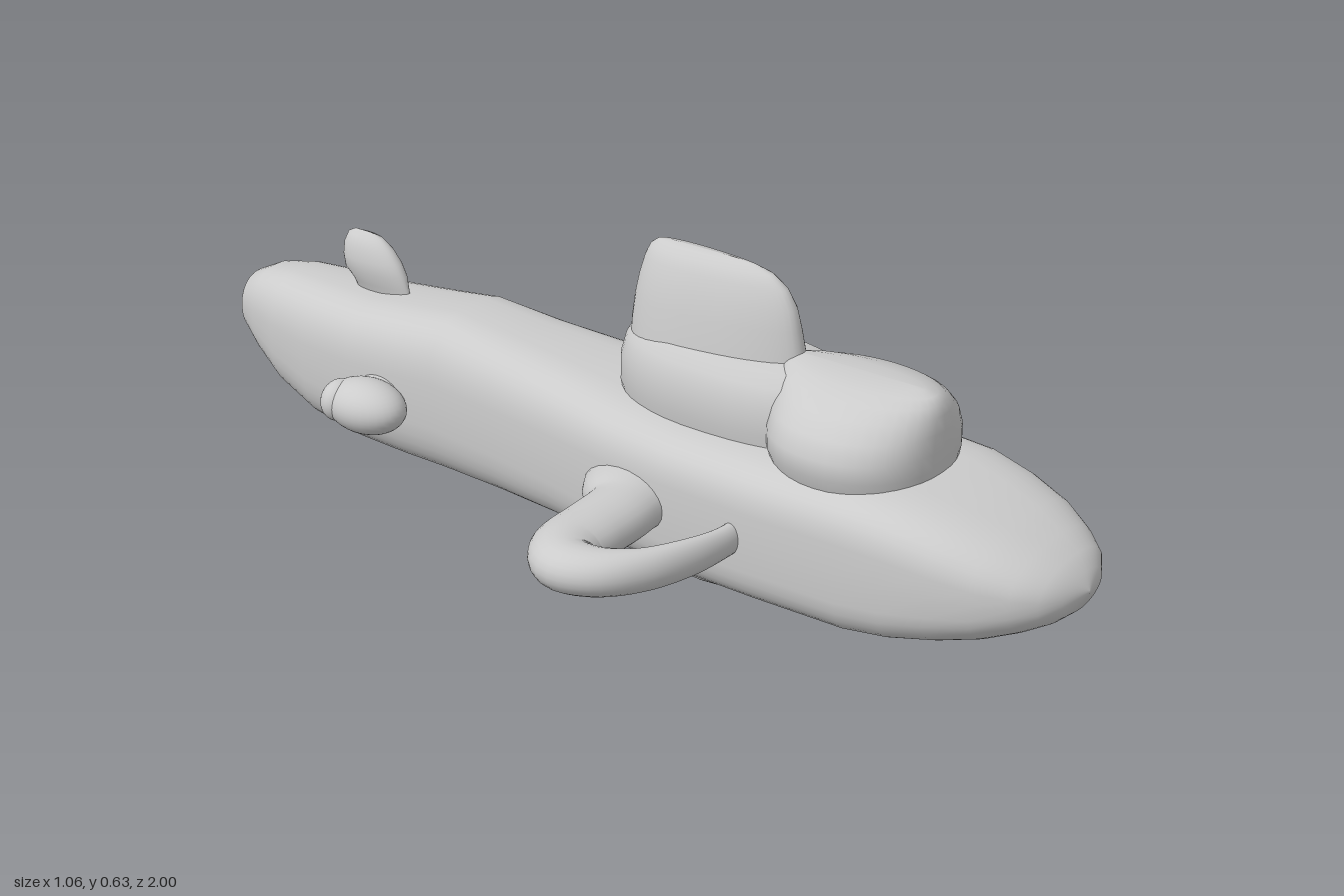
import * as THREE from 'three';

const mat = new THREE.MeshStandardMaterial({ color: 0xcccccc, side: THREE.DoubleSide });
const SIDES = 40;

// Skin a list of closed rings of Vector3 points
function skin(rings) {
  const pos = [], index = [], n = rings[0].length;
  rings.forEach((ring) => ring.forEach((p) => pos.push(p.x, p.y, p.z)));
  for (let i = 0; i < rings.length - 1; i++) {
    for (let j = 0; j < n; j++) {
      const a = i * n + j, b = i * n + (j + 1) % n;
      index.push(a, b, a + n, b, b + n, a + n);
    }
  }
  const g = new THREE.BufferGeometry();
  g.setAttribute('position', new THREE.Float32BufferAttribute(pos, 3));
  g.setIndex(index);
  g.computeVertexNormals();
  return g;
}

// Superellipse sections [position, halfWidth, low, high, exponent] along z;
// taper narrows the low end of each section
function loft(sections, taper = 0) {
  return skin(sections.map(([w, hw, lo, hi, e]) => {
    const ring = [];
    for (let j = 0; j < SIDES; j++) {
      const t = (j / SIDES) * Math.PI * 2;
      const c = Math.cos(t), s = Math.sin(t);
      const u = Math.sign(c) * Math.abs(c) ** (2 / e);
      const v = Math.sign(s) * Math.abs(s) ** (2 / e);
      const k = 1 - taper * (1 - v) / 2;
      ring.push(new THREE.Vector3(u * hw * k, (lo + hi) / 2 + v * (hi - lo) / 2, w));
    }
    return ring;
  }));
}

// Upright loft: sections [y, halfWidth, zBack, zFront, exponent], narrowing forwards
function loftUp(sections, taper) {
  const flipped = sections.map(([y, hw, z0, z1, e]) => [y, hw, -z1, -z0, e]);
  return loft(flipped, taper).rotateX(-Math.PI / 2);
}

function add(parent, name, geometry) {
  const m = new THREE.Mesh(geometry, mat);
  m.name = name;
  parent.add(m);
  return m;
}

function ellipsoid(parent, name, [x, y, z], [rx, ry, rz]) {
  add(parent, name, new THREE.SphereGeometry(1, 32, 20).scale(rx, ry, rz)).position.set(x, y, z);
}

// Wing loop: a flattened tube that leaves the hull, turns forward and returns
function wingGeometry() {
  // [x, z, horizontal radius, vertical radius]
  const stations = [
    [0.1, 0.11, 0.13, 0.065], [0.18, 0.125, 0.1, 0.06], [0.24, 0.145, 0.072, 0.053],
    [0.34, 0.15, 0.07, 0.051], [0.42, 0.155, 0.068, 0.05], [0.467, 0.19, 0.062, 0.048],
    [0.46, 0.25, 0.05, 0.045], [0.41, 0.31, 0.033, 0.042], [0.32, 0.353, 0.024, 0.038],
    [0.24, 0.37, 0.02, 0.032], [0.15, 0.37, 0.02, 0.03],
  ];
  const path = new THREE.CatmullRomCurve3(stations.map(([x, z]) => new THREE.Vector3(x, 0, z)));
  const radii = new THREE.CatmullRomCurve3(stations.map(([, , h, v]) => new THREE.Vector3(h, v, 0)));
  const rings = [];
  for (let i = 0; i <= 50; i++) {
    const p = path.getPoint(i / 50), t = path.getTangent(i / 50), r = radii.getPoint(i / 50);
    const ring = [];
    for (let j = 0; j < 24; j++) {
      const a = (j / 24) * Math.PI * 2, h = Math.cos(a) * r.x;
      ring.push(new THREE.Vector3(p.x + t.z * h, Math.sin(a) * r.y, p.z - t.x * h));
    }
    rings.push(ring);
  }
  return skin(rings);
}

export function createModel() {
  const model = new THREE.Group();
  model.name = 'submarine';

  // Hull from stern to bow
  add(model, 'hull', loft([
    [-1, 0, 0.245, 0.255, 2], [-0.995, 0.03, 0.22, 0.275, 2], [-0.97, 0.06, 0.175, 0.305, 2.2],
    [-0.92, 0.083, 0.135, 0.33, 2.4], [-0.85, 0.105, 0.09, 0.342, 2.6], [-0.75, 0.122, 0.053, 0.345, 2.8],
    [-0.62, 0.135, 0.038, 0.347, 3], [-0.5, 0.14, 0.034, 0.36, 3], [-0.4, 0.142, 0.033, 0.373, 3],
    [-0.25, 0.15, 0.033, 0.358, 3.1], [-0.1, 0.165, 0.033, 0.346, 3.3], [0.05, 0.187, 0.032, 0.335, 3.6],
    [0.2, 0.205, 0.03, 0.33, 4], [0.4, 0.215, 0.032, 0.33, 4], [0.6, 0.217, 0.034, 0.33, 4],
    [0.69, 0.215, 0.045, 0.326, 3.8], [0.78, 0.203, 0.062, 0.31, 3.3], [0.86, 0.182, 0.083, 0.287, 2.9],
    [0.92, 0.15, 0.105, 0.262, 2.5], [0.96, 0.115, 0.125, 0.24, 2.3], [0.985, 0.07, 0.145, 0.217, 2],
    [1, 0, 0.18, 0.185, 2],
  ]));

  // Belly bulges
  ellipsoid(model, 'keelBulge', [0, 0.05, 0.26], [0.16, 0.046, 0.17]);
  ellipsoid(model, 'frontBellyBulge', [0, 0.05, 0.49], [0.16, 0.034, 0.17]);

  // Domed cabin ahead of the tower
  add(model, 'cabin', loftUp([
    [0.3, 0.165, 0.36, 0.685, 2.2], [0.34, 0.182, 0.35, 0.69, 2.2], [0.375, 0.182, 0.35, 0.69, 2.2],
    [0.41, 0.165, 0.35, 0.69, 2.1], [0.44, 0.132, 0.35, 0.687, 2], [0.46, 0.1, 0.35, 0.68, 2],
    [0.472, 0.065, 0.355, 0.668, 2], [0.479, 0.035, 0.37, 0.645, 2], [0.48, 0, 0.4, 0.62, 2],
  ], 0));

  // Tower base and tower
  add(model, 'towerBase', loftUp([
    [0.3, 0.115, 0, 0.5, 2.4], [0.35, 0.125, -0.01, 0.5, 2.4], [0.4, 0.122, -0.01, 0.5, 2.4],
    [0.44, 0.108, 0, 0.48, 2.4], [0.46, 0.085, 0.015, 0.45, 2.3], [0.468, 0, 0.06, 0.4, 2],
  ], 0));
  add(model, 'tower', loftUp([
    [0.43, 0.1, 0.01, 0.39, 2.4], [0.47, 0.093, 0.01, 0.385, 2.4], [0.52, 0.082, 0.015, 0.375, 2.4],
    [0.56, 0.07, 0.022, 0.365, 2.4], [0.595, 0.054, 0.03, 0.345, 2.3], [0.617, 0.039, 0.04, 0.315, 2.2],
    [0.628, 0.02, 0.055, 0.275, 2], [0.631, 0, 0.09, 0.23, 2],
  ], 0.45));

  // Tail fin, leaning back
  add(model, 'tailFin', loftUp([
    [0.33, 0.02, -0.69, -0.56, 2], [0.36, 0.028, -0.705, -0.565, 2], [0.385, 0.038, -0.722, -0.572, 2.2],
    [0.41, 0.038, -0.726, -0.585, 2.2], [0.435, 0.032, -0.724, -0.605, 2.2],
    [0.455, 0.02, -0.716, -0.63, 2], [0.463, 0, -0.7, -0.66, 2],
  ], 0.3));

  // Wings and stern pods on both sides
  const wing = wingGeometry();
  for (const [side, s] of [['left', 1], ['right', -1]]) {
    const w = add(model, side + 'Wing', wing);
    w.position.y = 0.182;
    w.rotation.z = s > 0 ? 0 : Math.PI;
    const pod = new THREE.Group();
    pod.name = side + 'SternPod';
    model.add(pod);
    ellipsoid(pod, 'podBody', [s * 0.185, 0.187, -0.525], [0.064, 0.055, 0.09]);
    ellipsoid(pod, 'podTail', [s * 0.2, 0.19, -0.58], [0.045, 0.043, 0.035]);
    ellipsoid(pod, 'podMount', [s * 0.135, 0.187, -0.53], [0.06, 0.045, 0.06]);
  }
  return model;
}
